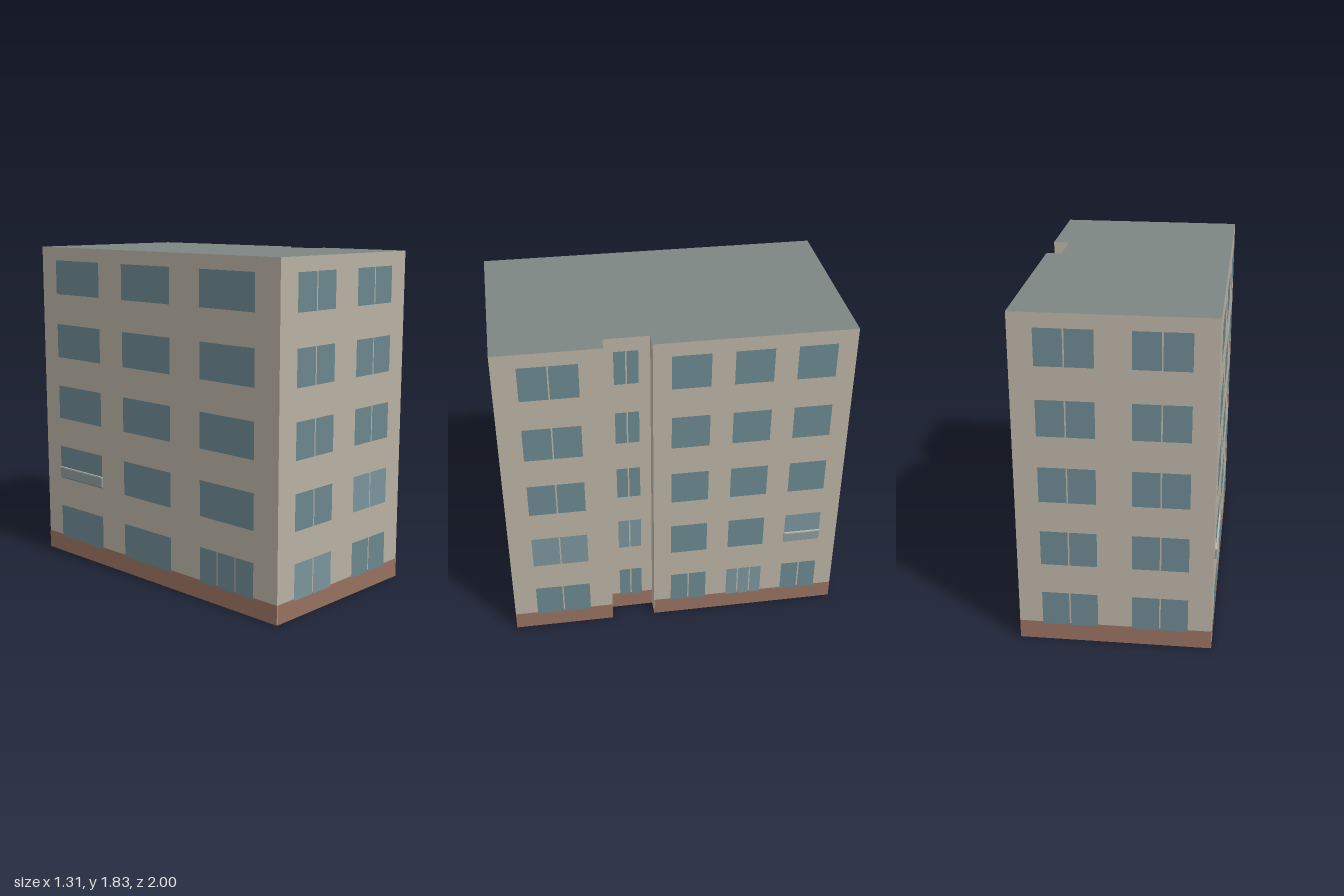
import * as THREE from 'three';

const HEIGHT = 1.83, BAND = 0.105;
const ROWS = [0.095, 0.46, 0.825, 1.19, 1.56], PANE_H = 0.195;
const mat = (color, side = THREE.FrontSide) =>
  new THREE.MeshStandardMaterial({ color, side, flatShading: true, roughness: 0.9 });

const plaster = mat(0xb8b0a2, THREE.DoubleSide);
const roofGrey = mat(0x7d8683, THREE.DoubleSide);
const brick = mat(0x96705f);
const glass = mat(0x6a858e);
const paleGlass = mat(0x78939a);
const railGrey = mat(0x8a9997);
const railLight = mat(0xb4bcb8);

// Footprint sides, counter-clockwise from above. Each window column is
// [start, end, panes, ground-floor panes] as fractions of the wall length.
const ends = [[0.123, 0.412, 2, 2], [0.59, 0.878, 2, 2]];
const SIDES = [
  { name: 'frontWall', from: [-0.365, 0.995], columns: ends, pale: ['0,0', '1,1'] },
  { name: 'rightFrontWall', from: [0.65, 0.825], columns: [[0.227, 0.773, 2, 2]], pale: ['0,1'] },
  { name: 'recessFrontCheek', from: [0.56, 0.275], bare: true },
  { name: 'recessWall', from: [0.475, 0.285], columns: [[0.213, 0.745, 2, 2]], pale: ['0,1'] },
  { name: 'recessBackCheek', from: [0.435, 0.05], bare: true },
  {
    name: 'rightBackWall', from: [0.52, 0.035], pale: ['1,0', '2,1'], railing: 2,
    columns: [[0.092, 0.285, 1, 2], [0.401, 0.594, 1, 3], [0.71, 0.903, 1, 2]],
  },
  { name: 'backWall', from: [0.35, -1.0], columns: ends },
  {
    name: 'leftWall', from: [-0.655, -0.83], railing: 0,
    columns: [[0.07, 0.276, 1, 1], [0.38, 0.586, 1, 1], [0.707, 0.914, 1, 3]],
  },
];

// Upright panel in a wall's own frame: x along the wall, z outwards
function panel(parent, name, x0, x1, y0, y1, z, material) {
  const mesh = new THREE.Mesh(new THREE.PlaneGeometry(x1 - x0, y1 - y0), material);
  mesh.position.set((x0 + x1) / 2, (y0 + y1) / 2, z);
  mesh.name = name;
  parent.add(mesh);
}

function bar(parent, name, x0, x1, y0, y1, depth, material) {
  const mesh = new THREE.Mesh(new THREE.BoxGeometry(x1 - x0, y1 - y0, depth), material);
  mesh.position.set((x0 + x1) / 2, (y0 + y1) / 2, depth / 2);
  mesh.name = name;
  parent.add(mesh);
}

// One window, split into panes by narrow gaps
function addWindow(parent, x0, x1, y, panes, material) {
  const gap = 0.008, w = (x1 - x0 - gap * (panes - 1)) / panes;
  for (let i = 0; i < panes; i++) {
    const x = x0 + i * (w + gap);
    panel(parent, 'windowPane', x, x + w, y, y + PANE_H, 0.004, material);
  }
}

function buildSide(side, next) {
  const group = new THREE.Group();
  group.name = side.name;
  const dx = next.from[0] - side.from[0], dz = next.from[1] - side.from[1];
  const length = Math.hypot(dx, dz);
  group.position.set(side.from[0], 0, side.from[1]);
  group.rotation.y = Math.atan2(-dz, dx);

  panel(group, 'wall', 0, length, 0, HEIGHT, 0, plaster);
  if (side.bare) return group;
  panel(group, 'baseBand', 0, length, 0, BAND, 0.002, brick);

  side.columns.forEach(([a, b, panes, groundPanes], col) => {
    ROWS.forEach((y, row) => {
      const pale = side.pale?.includes(`${col},${row}`);
      addWindow(group, a * length, b * length, y, row ? panes : groundPanes, pale ? paleGlass : glass);
    });
  });

  // Shallow guard rail across a single first-floor window
  if (side.railing !== undefined) {
    const [a, b] = side.columns[side.railing];
    bar(group, 'railingPanel', a * length, b * length, 0.468, 0.522, 0.01, railGrey);
    bar(group, 'railingTop', a * length, b * length, 0.522, 0.53, 0.012, railLight);
  }
  return group;
}

export function createModel() {
  const model = new THREE.Group();
  model.name = 'apartmentBlock';
  SIDES.forEach((side, i) => model.add(buildSide(side, SIDES[(i + 1) % SIDES.length])));

  // Flat roof following the footprint; the underside stays open
  const outline = new THREE.Shape(SIDES.map(({ from: [x, z] }) => new THREE.Vector2(x, -z)));
  const roof = new THREE.Mesh(new THREE.ShapeGeometry(outline), roofGrey);
  roof.rotation.x = -Math.PI / 2;
  roof.position.y = HEIGHT;
  roof.name = 'roof';
  model.add(roof);
  return model;
}
